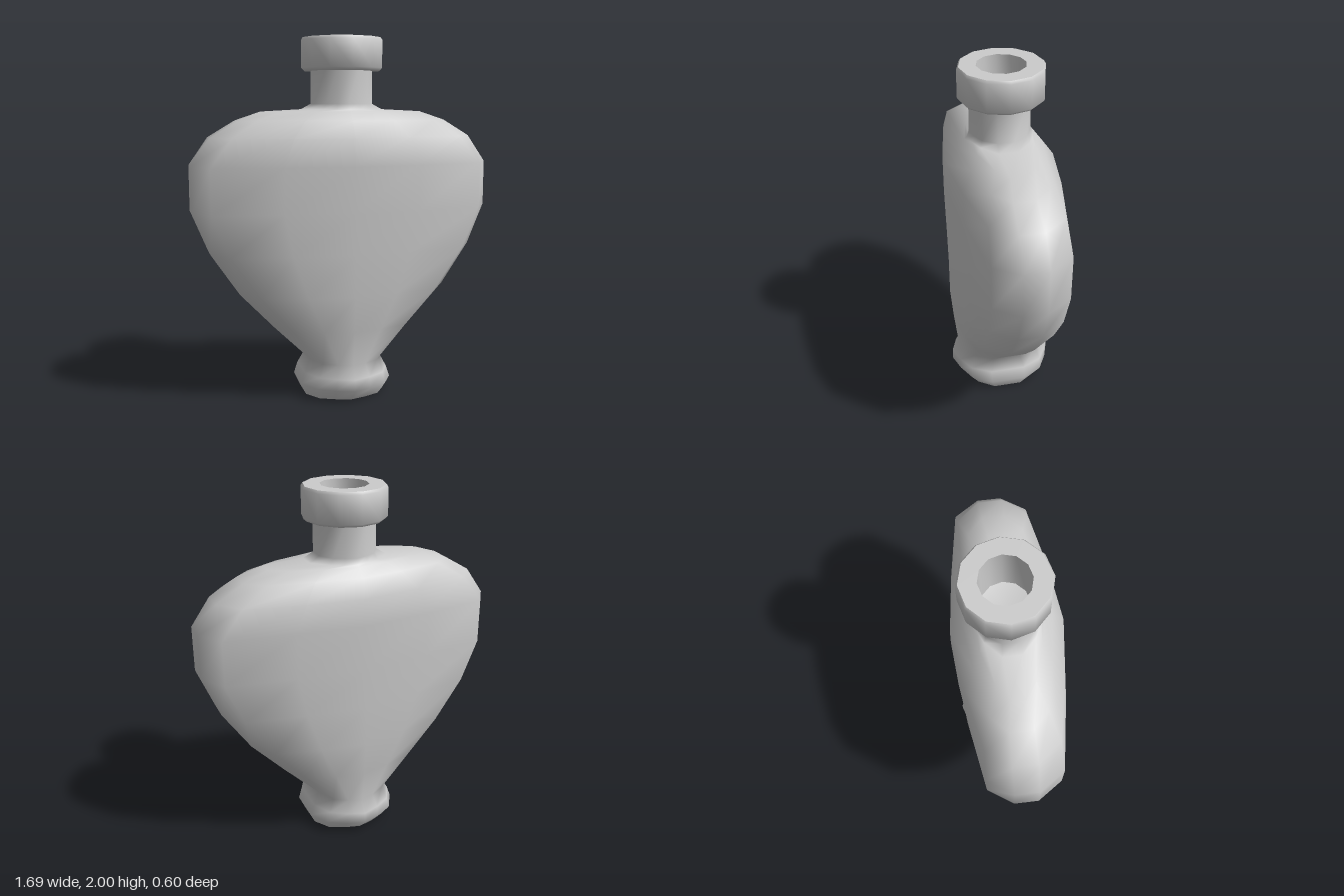
import * as THREE from 'three';
import { toCreasedNormals } from 'three/addons/utils/BufferGeometryUtils.js';

// Each level: y, half width, side z, corner x, corner z, half depth
const LEVELS = [
  // foot
  [0, 0.23, 0.08, 0.17, 0.17, 0.23],
  [0.07, 0.262, 0.1, 0.2, 0.21, 0.3],
  [0.135, 0.24, 0.1, 0.185, 0.21, 0.3],
  [0.205, 0.205, 0.08, 0.155, 0.19, 0.26],
  // flattened belly
  [0.4, 0.405, 0.065, 0.32, 0.2, 0.283],
  [0.6, 0.595, 0.065, 0.5, 0.2, 0.3],
  [0.83, 0.75, 0.065, 0.66, 0.2, 0.3],
  [1.06, 0.845, 0.065, 0.755, 0.2, 0.3],
  [1.31, 0.845, 0.065, 0.755, 0.2, 0.3],
  [1.46, 0.74, 0.065, 0.64, 0.19, 0.295],
  [1.55, 0.59, 0.06, 0.5, 0.145, 0.23],
  // shoulder and neck
  [1.598, 0.45, 0.04, 0.36, 0.1, 0.19],
  [1.61, 0.22, 0.05, 0.135, 0.13, 0.178],
  [1.64, 0.165, 0.044, 0.117, 0.117, 0.165],
  [1.83, 0.165, 0.044, 0.117, 0.117, 0.165],
];

// One mirrored cross-section as [x, z] points, running from +x towards +z
function section([, w, zs, xc, zc, d]) {
  const quarter = [[w, zs], [xc, zc], [xc * 0.5, zc + (d - zc) * 0.62]];
  const half = [...quarter, [0, d], ...quarter.map(([x, z]) => [-x, z]).reverse()];
  return [...half, ...half.map(([x, z]) => [-x, -z])];
}

function loft(levels) {
  const positions = [], index = [];
  const n = section(levels[0]).length;
  levels.forEach((level, r) => {
    section(level).forEach(([x, z], i) => {
      positions.push(x, level[0], z);
      if (r === levels.length - 1) return;
      const a = r * n + i, b = r * n + (i + 1) % n;
      index.push(a, a + n, b, b, a + n, b + n);
    });
  });
  const geometry = new THREE.BufferGeometry();
  geometry.setAttribute('position', new THREE.Float32BufferAttribute(positions, 3));
  geometry.setIndex(index);
  geometry.computeVertexNormals();
  return geometry;
}

export function createModel() {
  const group = new THREE.Group();
  group.name = 'bottle';
  const material = new THREE.MeshStandardMaterial({ color: 0xcccccc });
  const add = (name, geometry) => {
    const mesh = new THREE.Mesh(geometry, material);
    mesh.name = name;
    group.add(mesh);
    return mesh;
  };

  // Foot, belly and neck in one smooth skin
  add('body', loft(LEVELS));

  // Flat underside
  const outline = new THREE.Shape(section(LEVELS[0]).map(([x, z]) => new THREE.Vector2(x, z)));
  add('base', new THREE.ShapeGeometry(outline).rotateX(Math.PI / 2));

  // Twelve-sided lip with the hollow mouth
  const profile = [
    [0.155, 1.82], [0.215, 1.82], [0.23, 1.835], [0.23, 1.985], [0.22, 2],
    [0.13, 2], [0.125, 1.72], [0, 1.7],
  ].map(([r, y]) => new THREE.Vector2(r, y));
  const lip = add('lip', toCreasedNormals(new THREE.LatheGeometry(profile, 12), 0.9));
  lip.position.set(0.004, 0, -0.007);

  return group;
}
